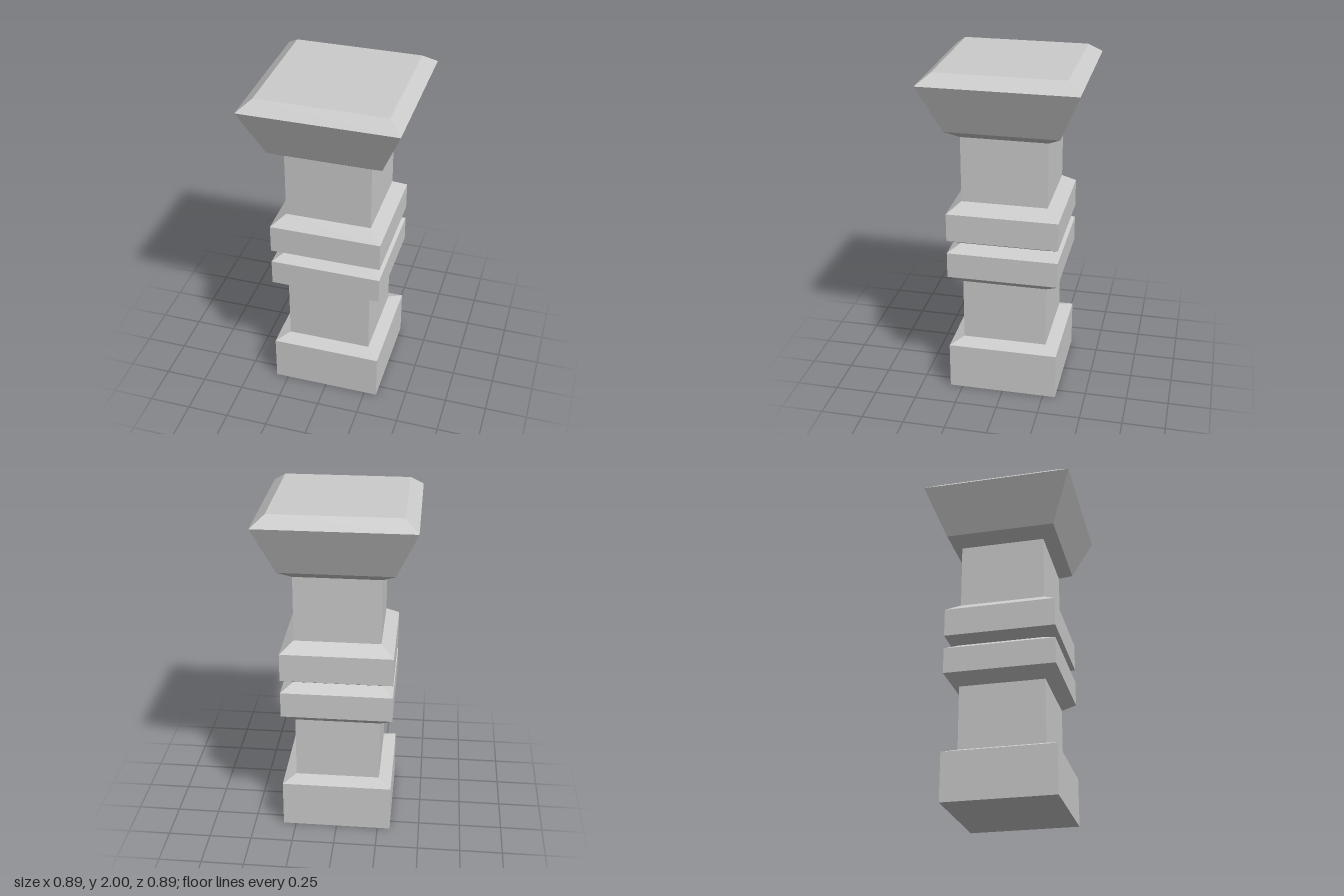
import * as THREE from 'three';

const material = new THREE.MeshStandardMaterial({ color: 0xcccccc, flatShading: true });

// Square moulding: profile of [half width, height] pairs, bottom to top
function squareSection(name, profile) {
  const points = profile.map(([half, y]) => new THREE.Vector2(half * Math.SQRT2, y));
  const geometry = new THREE.LatheGeometry(points, 4, Math.PI / 4).toNonIndexed();
  geometry.computeVertexNormals();
  const mesh = new THREE.Mesh(geometry, material);
  mesh.name = name;
  return mesh;
}

export function createModel() {
  const group = new THREE.Group();
  group.name = 'squarePillar';

  const shaft = 0.25, band = 0.325;
  group.add(
    // Foot with closed underside and bevelled shoulder
    squareSection('base', [[0, 0], [band, 0], [band, 0.285], [shaft, 0.317]]),
    squareSection('lowerShaft', [[shaft, 0.317], [shaft, 0.695]]),
    // Pair of bevelled bands around the middle
    squareSection('lowerBand', [[shaft, 0.695], [band, 0.754], [band, 0.908], [0.257, 0.95]]),
    squareSection('upperBand', [[0.257, 0.95], [band, 0.988], [band, 1.156], [shaft, 1.213]]),
    squareSection('upperShaft', [[shaft, 1.213], [shaft, 1.602]]),
    // Flared head with chamfered flat top
    squareSection('capital', [[shaft, 1.602], [band, 1.653], [0.444, 1.94], [0.368, 2], [0, 2]])
  );
  return group;
}
